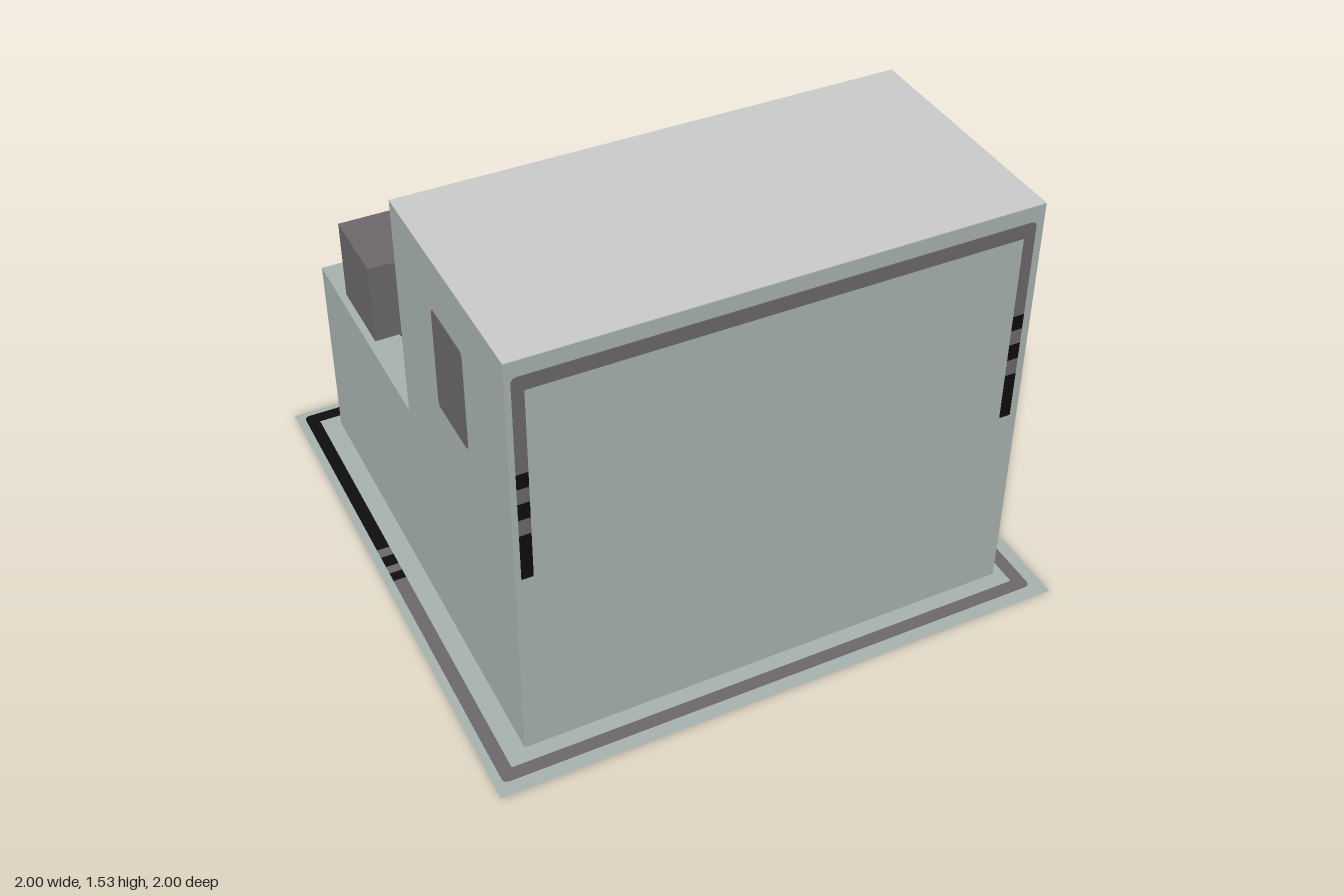
import * as THREE from 'three';

const paint = (name, color) => {
  const m = new THREE.MeshStandardMaterial({ color });
  m.name = name;
  return m;
};

export function createModel() {
  const green = paint('sage green', 0xa6b2ae);
  const grey = paint('warm grey', 0x6b676a);
  const black = paint('black', 0x0d0d0d);
  const light = paint('light grey', 0xc9c9c9);
  const plateGreen = paint('plate green', 0xa6b2ae);
  plateGreen.side = THREE.DoubleSide;

  const model = new THREE.Group();
  model.name = 'building';
  const add = (name, geometry, material) => {
    const mesh = new THREE.Mesh(geometry, material);
    mesh.name = name;
    model.add(mesh);
    return mesh;
  };
  // Box given by its limits on each axis
  const box = (name, [x0, x1], [y0, y1], [z0, z1], material) => {
    const g = new THREE.BoxGeometry(x1 - x0, y1 - y0, z1 - z0);
    g.translate((x0 + x1) / 2, (y0 + y1) / 2, (z0 + z1) / 2);
    return add(name, g, material);
  };
  const extrude = (shape, depth) =>
    new THREE.ExtrudeGeometry(shape, { depth, bevelEnabled: false, curveSegments: 4 });
  // Three-sided line: two legs from yEnd to a rounded bar at yBar
  const bracket = (x0, x1, yEnd, yBar, w) => {
    const d = Math.sign(yBar - yEnd), r = 0.02, yi = yBar - d * w;
    const s = new THREE.Shape();
    s.moveTo(x0, yEnd);
    s.lineTo(x0, yBar - d * r);
    s.quadraticCurveTo(x0, yBar, x0 + r, yBar);
    s.lineTo(x1 - r, yBar);
    s.quadraticCurveTo(x1, yBar, x1, yBar - d * r);
    s.lineTo(x1, yEnd);
    s.lineTo(x1 - w, yEnd);
    s.lineTo(x1 - w, yi);
    s.lineTo(x0 + w, yi);
    s.lineTo(x0 + w, yEnd);
    return s;
  };

  // Ground plate with its border line, which shows on both sides
  add('groundPlate', new THREE.PlaneGeometry(2, 2).rotateX(-Math.PI / 2).translate(0, 0.002, 0), plateGreen);
  const T = 0.004, W = 0.045, X0 = -0.97, X1 = 0.955;
  add('borderRear', extrude(bracket(X0, X1, 0.18, 0.975, W), T).rotateX(-Math.PI / 2), black);
  add('borderFront', extrude(bracket(X0, X1, 0.015, -0.95, W), T).rotateX(-Math.PI / 2), grey);
  const borderDashes = [[-0.18, -0.14, grey], [-0.14, -0.09, black], [-0.09, -0.055, grey], [-0.055, -0.015, black]];
  for (const [z0, z1, m] of borderDashes) {
    box('borderDash', [X0, X0 + W], [0, T], [z0, z1], m);
    box('borderDash', [X1 - W, X1], [0, T], [z0, z1], m);
  }

  // Stepped body: tall front block and low rear block
  const H = 0.863;
  const profile = new THREE.Shape([[-H, 0.02], [H, 0.02], [H, 0.73], [0, 0.73], [0, 1.53], [-H, 1.53]]
    .map(([x, y]) => new THREE.Vector2(x, y)));
  add('body', extrude(profile, 2 * H).rotateY(Math.PI / 2).translate(-H, 0, 0), green);
  add('roof', new THREE.PlaneGeometry(2 * H, H).rotateX(-Math.PI / 2).translate(0, 1.532, H / 2), light);

  // Paired stripes over the top and back of the low block
  for (const x of [-0.75, -0.165, 0.42]) {
    box('blackStripe', [x, x + 0.232], [0.021, 0.732], [-H - 0.002, -0.001], black);
    box('greyStripe', [x + 0.232, x + 0.352], [0.021, 0.732], [-H - 0.002, -0.001], grey);
  }

  // Panel on the back of the tall block, and the beam
  box('rearPanel', [-0.72, 0.68], [0.733, 1.529], [-0.002, 0.001], grey);
  box('beam', [-0.845, 0.9], [0.75, 1.042], [-0.65, -0.36], grey);

  // Side windows with rounded corners
  const pane = new THREE.Shape();
  const a = 0.117, b = 0.18, r = 0.018;
  pane.moveTo(-a + r, -b);
  pane.lineTo(a - r, -b);
  pane.quadraticCurveTo(a, -b, a, -b + r);
  pane.lineTo(a, b - r);
  pane.quadraticCurveTo(a, b, a - r, b);
  pane.lineTo(-a + r, b);
  pane.quadraticCurveTo(-a, b, -a, b - r);
  pane.lineTo(-a, -b + r);
  pane.quadraticCurveTo(-a, -b, -a + r, -b);
  for (const side of [-1, 1]) {
    const geo = extrude(pane, 0.003).translate(0, 0, -0.001).rotateY(side * Math.PI / 2);
    add(side > 0 ? 'leftWindow' : 'rightWindow', geo, grey).position.set(side * H, 1.165, 0.428);
  }

  // Line framing the front, with dashed ends
  add('frontLine', extrude(bracket(-0.843, 0.836, 1.135, 1.476, 0.038), 0.003).translate(0, 0, H - 0.001), grey);
  // Thicken the bar slightly below the bracket
  box('frontLineBar', [-0.806, 0.799], [1.425, 1.44], [H - 0.001, H + 0.002], grey);
  const frontDashes = [[0.735, 0.905, black], [0.905, 0.965, grey], [0.965, 1.025, black],
    [1.025, 1.08, grey], [1.08, 1.135, black]];
  for (const [y0, y1, m] of frontDashes) {
    box('frontDash', [-0.843, -0.805], [y0, y1], [H - 0.001, H + 0.002], m);
    box('frontDash', [0.798, 0.836], [y0, y1], [H - 0.001, H + 0.002], m);
  }

  return model;
}
